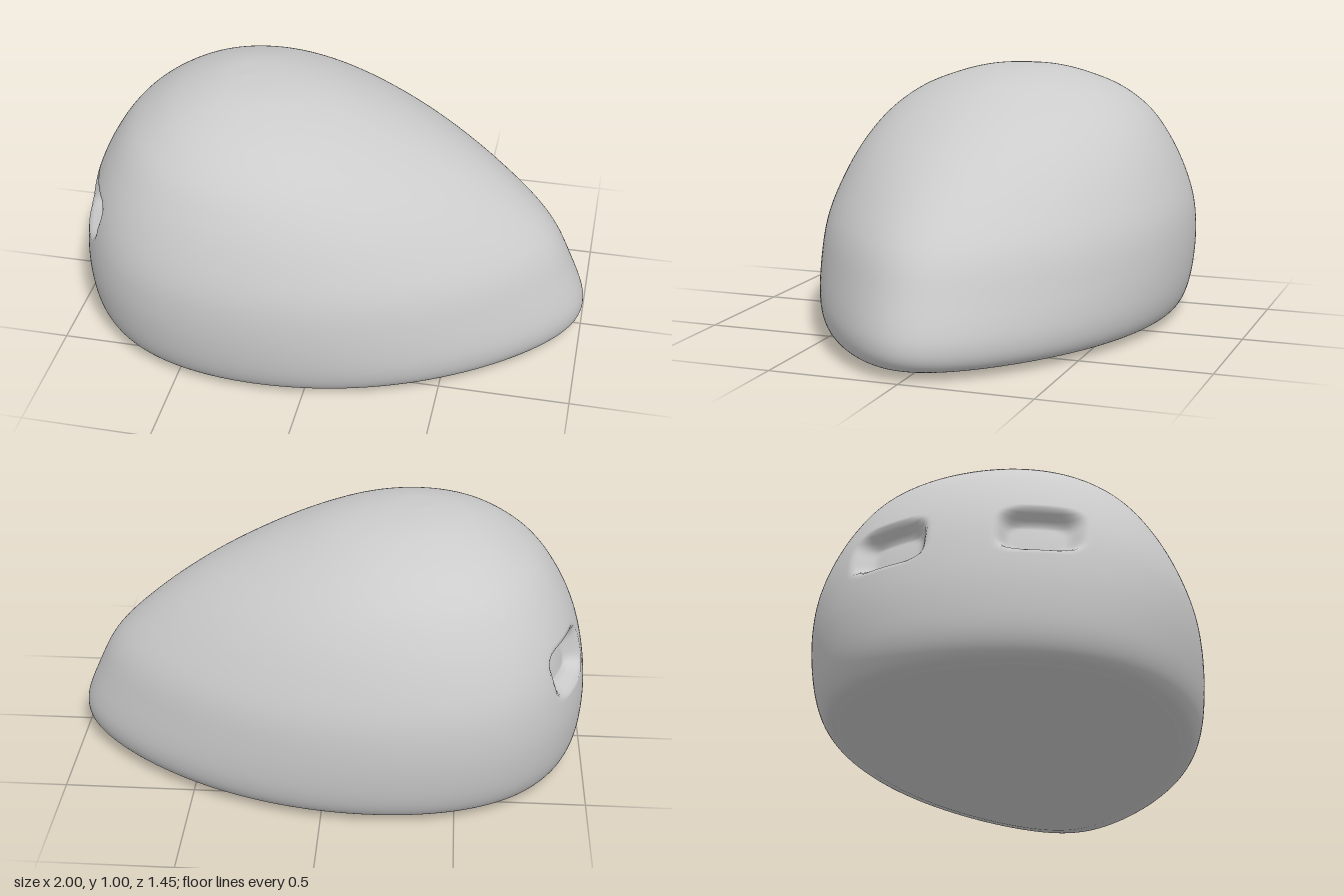
import * as THREE from 'three';

// Horizontal slices of the shell, bottom to top: [y, rear x, nose x, half width]
const SLICES = [
  [0.012, -0.89, 0.85, 0.61], [0.042, -0.95, 0.97, 0.67], [0.13, -0.988, 1.0, 0.705],
  [0.28, -1.0, 0.945, 0.72], [0.43, -0.985, 0.865, 0.71], [0.57, -0.95, 0.72, 0.67],
  [0.70, -0.89, 0.54, 0.61], [0.81, -0.81, 0.34, 0.53], [0.895, -0.70, 0.15, 0.42],
  [0.95, -0.59, 0.0, 0.29], [0.985, -0.47, -0.17, 0.155], [0.997, -0.35, -0.35, 0],
];
const COLS = 240, ROWS = 110, BASE_ROWS = 12;

const spline = (pts) => new THREE.CatmullRomCurve3(pts, false, 'catmullrom', 0.5);
const plan = spline(SLICES.map((s) => new THREE.Vector3(s[1], s[2], s[3])));
const rise = spline(SLICES.map((s) => new THREE.Vector3(0, s[0], 0)));

// Egg-shaped slice: blunt at the rear (-x), narrow at the nose (+x)
function slicePoint(t, angle, scale = 1) {
  const p = plan.getPoint(t), y = rise.getPoint(t).y;
  const u = -Math.cos(angle);
  const egg = THREE.MathUtils.lerp(1, 0.45, THREE.MathUtils.smoothstep(y, 0.4, 1));
  const width = p.z * (0.99 - egg * (0.2 * u + 0.13 * u ** 3));
  const mid = (p.x + p.y) / 2;
  return new THREE.Vector3(
    mid + (scale * u * (p.y - p.x)) / 2, y, scale * width * Math.sin(angle));
}

// Two rounded rectangular hollows pressed into the rear end
function pressHollows(v) {
  if (v.x > -0.5) return;
  const side = Math.sign(v.z);
  const dz = (Math.abs(v.z) - 0.275) / 0.16, dy = (v.y - 0.5) / 0.1;
  const d = (dz ** 4 + dy ** 4) ** 0.25;
  const depth = 0.065 * (1 - THREE.MathUtils.smoothstep(d, 0.55, 1));
  v.add(new THREE.Vector3(0.91, -0.22, -0.35 * side).multiplyScalar(depth));
}

function shellGeometry() {
  const pos = [], index = [];
  const total = BASE_ROWS + ROWS;
  for (let r = 0; r <= total; r++) {
    for (let c = 0; c < COLS; c++) {
      const a = (c / COLS) * Math.PI * 2;
      const angle = a - 0.4 * Math.sin(a); // finer columns at the rear
      let v;
      if (r < BASE_ROWS) {
        // Underside, very slightly wavy across its width
        const k = r / BASE_ROWS;
        v = slicePoint(0, angle, k);
        v.y += (1 - k * k) * (-0.012 + 0.02 * Math.sin(Math.min(1, Math.abs(v.z) / 0.6) * Math.PI / 2) ** 2);
      } else {
        v = slicePoint((r - BASE_ROWS) / ROWS, angle);
        pressHollows(v);
      }
      pos.push(v.x, v.y, v.z);
      if (r < total) {
        const i = r * COLS + c, j = r * COLS + ((c + 1) % COLS);
        if (r > 0) index.push(i, j, j + COLS);
        if (r < total) index.push(i, j + COLS, i + COLS);
      }
    }
  }
  const g = new THREE.BufferGeometry();
  g.setAttribute('position', new THREE.Float32BufferAttribute(pos, 3));
  g.setIndex(index);
  g.computeVertexNormals();
  return g;
}

export function createModel() {
  const group = new THREE.Group();
  group.name = 'eggShapedBody';
  const shell = new THREE.Mesh(
    shellGeometry(), new THREE.MeshStandardMaterial({ color: 0xcccccc }));
  shell.name = 'shellWithHollows';
  group.add(shell);
  return group;
}
